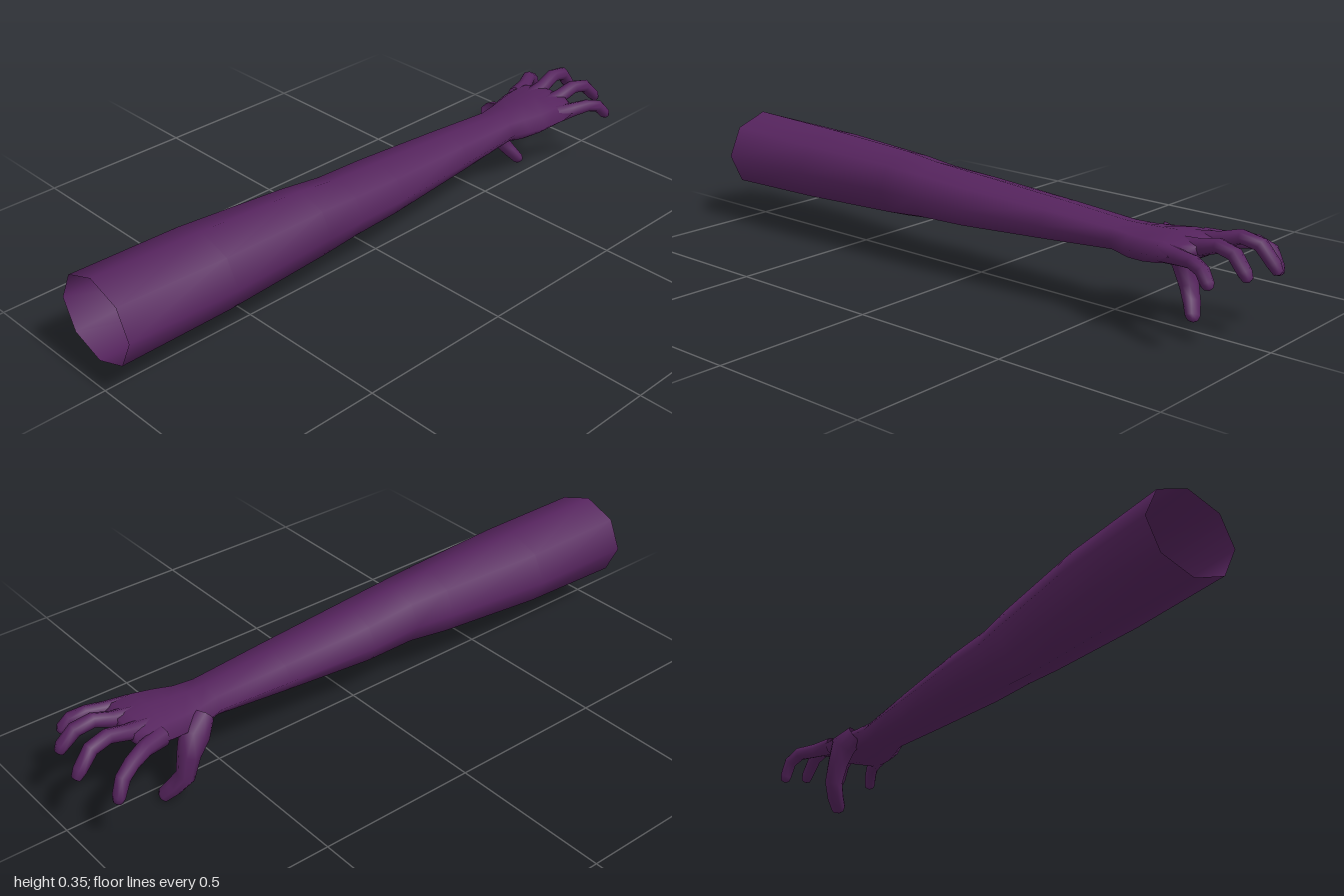
import * as THREE from 'three';

const SIDES = 8;

// Skin a list of rings with smooth normals; an optional tip point closes the end
function loft(rings, tip) {
  const pos = [], idx = [];
  rings.forEach((r) => r.forEach((p) => pos.push(p.x, p.y, p.z)));
  for (let i = 0; i < rings.length - 1; i++) {
    for (let j = 0; j < SIDES; j++) {
      const a = i * SIDES + j, b = i * SIDES + (j + 1) % SIDES;
      idx.push(a, b, a + SIDES, b, b + SIDES, a + SIDES);
    }
  }
  if (tip) {
    const base = (rings.length - 1) * SIDES;
    pos.push(tip.x, tip.y, tip.z);
    for (let j = 0; j < SIDES; j++) idx.push(base + j, base + (j + 1) % SIDES, base + SIDES);
  }
  const g = new THREE.BufferGeometry();
  g.setAttribute('position', new THREE.Float32BufferAttribute(pos, 3));
  g.setIndex(idx);
  g.computeVertexNormals();
  return g;
}

// Ring around a centre, spanned by two half-axes (up x side points along the limb)
function ring(c, up, side) {
  return Array.from({ length: SIDES }, (_, j) => {
    const a = (j / SIDES) * Math.PI * 2;
    return c.clone().addScaledVector(up, Math.cos(a)).addScaledVector(side, Math.sin(a));
  });
}

// Upright section: x, bottom, top, back z, front z
function section([x, y0, y1, z0, z1]) {
  return ring(new THREE.Vector3(x, (y0 + y1) / 2, (z0 + z1) / 2),
    new THREE.Vector3(0, (y1 - y0) / 2, 0), new THREE.Vector3(0, 0, (z1 - z0) / 2));
}

// Finger along points of x, y, z, in-plane radius, sideways radius
function digit(points) {
  const c = points.map((p) => new THREE.Vector3(p[0], p[1], p[2]));
  const last = c.length - 1;
  let dir;
  const rings = c.map((p, i) => {
    dir = c[Math.min(i + 1, last)].clone().sub(c[Math.max(i - 1, 0)]).normalize();
    const up = new THREE.Vector3(0, 0, 1).cross(dir).normalize();
    const side = dir.clone().cross(up);
    return ring(p, up.multiplyScalar(points[i][3]), side.multiplyScalar(points[i][4]));
  });
  return loft(rings, c[last].clone().addScaledVector(dir, 0.006));
}

export function createModel() {
  const group = new THREE.Group();
  const skin = new THREE.MeshStandardMaterial({ color: 0x56245e, side: THREE.DoubleSide });
  skin.name = 'purple skin';
  const add = (name, geometry) => {
    const mesh = new THREE.Mesh(geometry, skin);
    mesh.name = name;
    group.add(mesh);
  };

  // Arm, wrist and palm in one skin, open at the shoulder end
  add('armAndPalm', loft([
    [-1, 0.098, 0.356, -0.155, 0.14],
    [-0.65, 0.11, 0.346, -0.155, 0.148],
    [-0.3, 0.125, 0.332, -0.118, 0.13],
    [-0.17, 0.139, 0.32, -0.101, 0.125],
    [0, 0.145, 0.308, -0.106, 0.12],
    [0.3, 0.168, 0.289, -0.09, 0.101],
    [0.53, 0.188, 0.272, -0.076, 0.086],
    [0.59, 0.178, 0.272, -0.092, 0.1],
    [0.65, 0.185, 0.276, -0.106, 0.124],
    [0.71, 0.196, 0.281, -0.115, 0.138],
    [0.77, 0.21, 0.278, -0.115, 0.132],
    [0.8, 0.225, 0.27, -0.085, 0.095],
  ].map(section), new THREE.Vector3(0.805, 0.247, 0)));

  // Thumb hanging from the back edge of the palm
  add('thumb', digit([
    [0.59, 0.235, -0.07, 0.03, 0.035],
    [0.635, 0.205, -0.093, 0.046, 0.042],
    [0.66, 0.15, -0.097, 0.034, 0.034],
    [0.678, 0.088, -0.1, 0.026, 0.031],
    [0.703, 0.05, -0.078, 0.022, 0.028],
    [0.722, 0.02, -0.055, 0.018, 0.024],
    [0.727, 0.011, -0.05, 0.012, 0.017],
  ]));

  // Four spread fingers, curled down at the tips
  add('indexFinger', digit([
    [0.73, 0.24, -0.085, 0.03, 0.028],
    [0.8, 0.243, -0.107, 0.024, 0.024],
    [0.86, 0.243, -0.14, 0.022, 0.022],
    [0.898, 0.222, -0.155, 0.021, 0.021],
    [0.918, 0.175, -0.16, 0.018, 0.02],
    [0.922, 0.16, -0.16, 0.013, 0.015],
  ]));
  add('middleFinger', digit([
    [0.74, 0.246, -0.035, 0.03, 0.028],
    [0.81, 0.262, -0.038, 0.023, 0.023],
    [0.87, 0.281, -0.044, 0.021, 0.023],
    [0.925, 0.269, -0.049, 0.021, 0.023],
    [0.965, 0.222, -0.053, 0.019, 0.021],
    [0.979, 0.201, -0.053, 0.013, 0.016],
  ]));
  add('ringFinger', digit([
    [0.74, 0.246, 0.035, 0.03, 0.028],
    [0.81, 0.26, 0.043, 0.023, 0.023],
    [0.86, 0.276, 0.05, 0.021, 0.023],
    [0.912, 0.265, 0.057, 0.021, 0.023],
    [0.95, 0.225, 0.066, 0.019, 0.021],
    [0.961, 0.208, 0.067, 0.013, 0.016],
  ]));
  add('littleFinger', digit([
    [0.72, 0.24, 0.095, 0.03, 0.028],
    [0.785, 0.243, 0.115, 0.023, 0.023],
    [0.835, 0.246, 0.132, 0.02, 0.021],
    [0.875, 0.235, 0.148, 0.02, 0.02],
    [0.898, 0.207, 0.158, 0.018, 0.019],
    [0.904, 0.197, 0.16, 0.012, 0.014],
  ]));

  return group;
}
